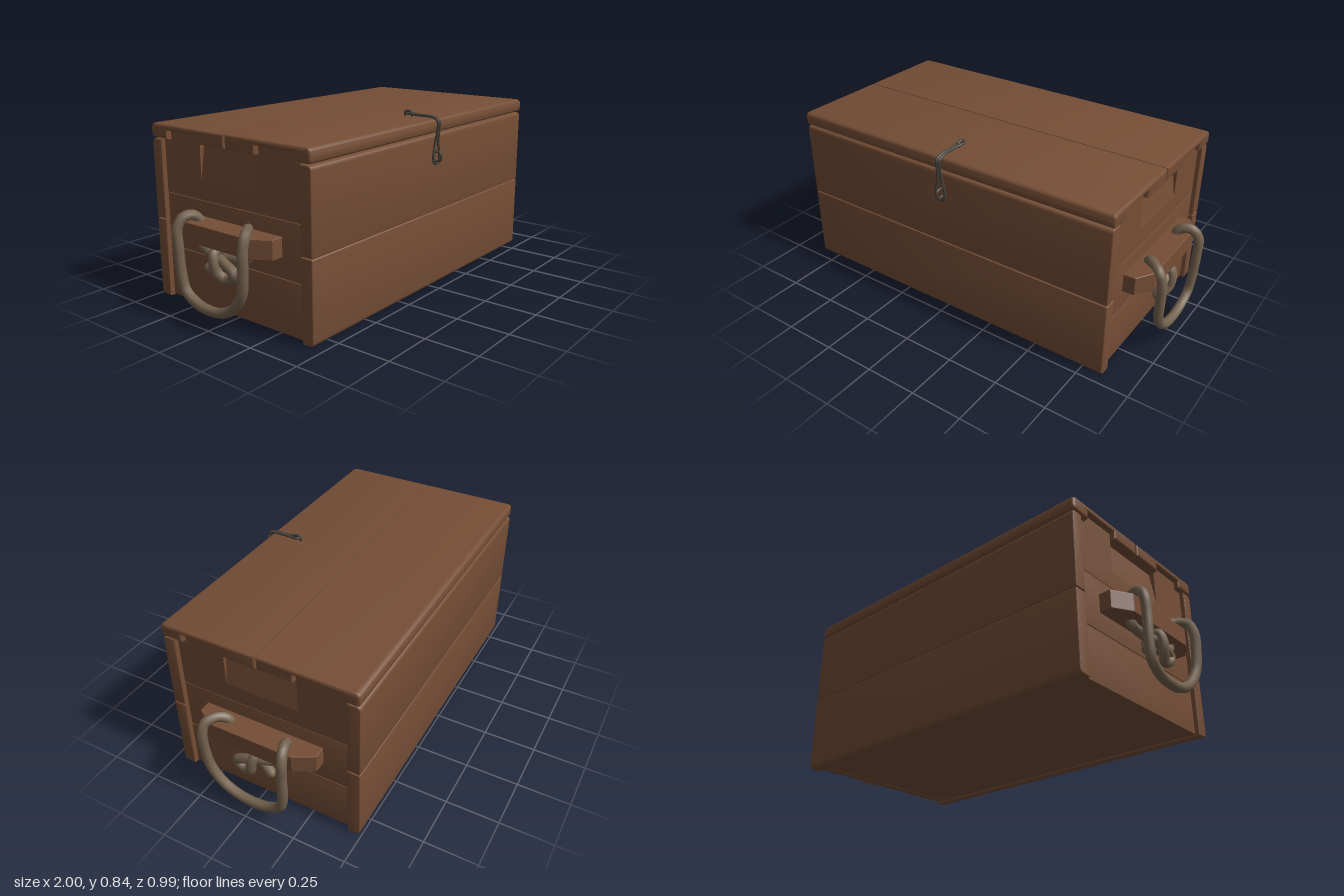
import * as THREE from 'three';
import { toCreasedNormals } from 'three/addons/utils/BufferGeometryUtils.js';

const material = (name, color) => {
  const m = new THREE.MeshStandardMaterial({ color });
  m.name = name;
  return m;
};

// Closed outline from [u, v, cornerRadius] points
function outline(points) {
  const shape = new THREE.Shape();
  const n = points.length;
  points.forEach(([u, v, r = 0], i) => {
    const toward = ([a, b]) => {
      const d = Math.hypot(a - u, b - v);
      return [u + (a - u) * r / d, v + (b - v) * r / d];
    };
    const start = toward(points[(i + n - 1) % n]);
    if (i === 0) shape.moveTo(...start); else shape.lineTo(...start);
    if (r > 0) shape.quadraticCurveTo(u, v, ...toward(points[(i + 1) % n]));
  });
  shape.closePath();
  return shape;
}

function extrude(points, length, bevel) {
  const geometry = new THREE.ExtrudeGeometry(outline(points), {
    depth: length - 2 * bevel, curveSegments: 5, bevelEnabled: bevel > 0,
    bevelThickness: bevel, bevelSize: bevel, bevelOffset: -bevel, bevelSegments: 3,
  });
  geometry.translate(0, 0, -(length - 2 * bevel) / 2);
  return geometry;
}

export function createModel() {
  const wood = material('brown wood', 0x754e36);
  const rope = material('rope', 0x75634f);
  const iron = material('dark iron', 0x45403a);
  const model = new THREE.Group();

  const add = (parent, name, geometry, mat) => {
    const mesh = new THREE.Mesh(geometry, mat);
    mesh.name = name;
    parent.add(mesh);
    return mesh;
  };

  // Board with a (z, y) profile running along x
  const board = (parent, name, profile, length, bevel, x = 0) => {
    const g = extrude(profile, length, bevel).rotateY(-Math.PI / 2).translate(x, 0, 0);
    return add(parent, name, toCreasedNormals(g, 0.6), wood);
  };

  const tube = (parent, name, points, radius, mat, closed = false) => {
    const curve = new THREE.CatmullRomCurve3(points.map(p => new THREE.Vector3(...p)), closed, 'centripetal');
    add(parent, name, new THREE.TubeGeometry(curve, points.length * 5, radius, 8, closed), mat);
  };

  // Front and back walls, two planks each
  for (const [side, outer, inner] of [['front', 0.453, 0.393], ['back', -0.493, -0.433]]) {
    board(model, side + 'LowerPlank',
      [[inner, 0.004], [outer, 0.004, 0.025], [outer, 0.374, 0.006], [inner, 0.374]], 1.7, 0.005);
    board(model, side + 'UpperPlank',
      [[inner, 0.377], [outer, 0.377, 0.006], [outer, 0.745, 0.02], [inner, 0.745]], 1.7, 0.005);
  }

  // Floor
  const floor = new THREE.BoxGeometry(1.64, 0.03, 0.815);
  floor.translate(0, 0.027, -0.02);
  add(model, 'floor', floor, wood);

  // Lid planks, notched underneath for the tabs of the end walls
  board(model, 'lidFrontPlank', [
    [-0.018, 0.75], [0.155, 0.75], [0.155, 0.787], [0.347, 0.787], [0.347, 0.75],
    [0.455, 0.75, 0.02], [0.455, 0.815, 0.025], [-0.018, 0.815]], 1.71, 0.012);
  board(model, 'lidBackPlank', [
    [-0.022, 0.815], [-0.493, 0.815, 0.025], [-0.493, 0.75, 0.02], [-0.387, 0.75],
    [-0.387, 0.787], [-0.195, 0.787], [-0.195, 0.75], [-0.022, 0.75]], 1.71, 0.012);

  for (const s of [1, -1]) {
    const end = new THREE.Group();
    end.name = s > 0 ? 'leftEnd' : 'rightEnd';
    model.add(end);

    // End wall: two plain planks and a top plank with tabs and a grip cutout
    for (const [y0, y1] of [[0.01, 0.249], [0.251, 0.499]]) {
      board(end, 'endPlank', [[0.39, y0], [0.39, y1], [-0.43, y1], [-0.43, y0]], 0.04, 0.002, s * 0.81);
    }
    board(end, 'endTopPlank', [
      [0.39, 0.501], [0.39, 0.745], [0.345, 0.745], [0.345, 0.784], [0.157, 0.784],
      [0.157, 0.585], [-0.197, 0.585], [-0.197, 0.784], [-0.385, 0.784], [-0.385, 0.745],
      [-0.43, 0.745], [-0.43, 0.501]], 0.04, 0, s * 0.81);

    // Sloping finger grip
    const grip = extrude([[s * 0.79, 0.585], [s * 0.83, 0.585], [s * 0.805, 0.75], [s * 0.79, 0.75]], 0.354, 0);
    add(end, 'gripSlope', grip.translate(0, 0, -0.02), wood);

    // Handle bar with tapered ends
    const bar = extrude([[s * 0.825, -0.275], [s * 0.885, -0.275], [s * 0.937, -0.19],
      [s * 0.937, 0.22], [s * 0.885, 0.31], [s * 0.825, 0.31]], 0.088, 0.004);
    add(end, 'handleBar', bar.rotateX(-Math.PI / 2).translate(0, 0.385, 0), wood);

    // Rope: through the bar, round the hanging loop, then knotted below the bar
    const path = [
      [0.9, 0.235, -0.09], [0.885, 0.262, -0.04], [0.87, 0.29, 0.02], [0.875, 0.3, 0.09],
      [0.88, 0.33, 0.14], [0.875, 0.38, 0.125], [0.875, 0.432, 0.125], [0.905, 0.457, 0.16],
      [0.955, 0.445, 0.195], [0.975, 0.4, 0.2], [0.976, 0.3, 0.198], [0.97, 0.2, 0.18],
      [0.966, 0.125, 0.125], [0.964, 0.085, 0.05], [0.964, 0.076, -0.03], [0.964, 0.09, -0.11],
      [0.967, 0.135, -0.172], [0.972, 0.22, -0.19], [0.976, 0.33, -0.194], [0.973, 0.41, -0.198],
      [0.945, 0.452, -0.188], [0.905, 0.456, -0.175], [0.877, 0.43, -0.165], [0.875, 0.38, -0.16],
      [0.88, 0.33, -0.155], [0.89, 0.305, -0.1], [0.905, 0.296, -0.03], [0.915, 0.278, 0.03],
      [0.915, 0.25, 0.078], [0.91, 0.222, 0.06], [0.915, 0.215, 0.02], [0.932, 0.24, -0.005],
      [0.938, 0.285, -0.015], [0.925, 0.322, -0.025], [0.885, 0.325, -0.035], [0.865, 0.29, -0.03],
    ].map(([x, y, z]) => [s * x, y, z]);
    tube(end, 'ropeHandle', path, 0.023, rope);
    for (const p of [path[0], path[path.length - 1]]) {
      add(end, 'ropeEnd', new THREE.SphereGeometry(0.023, 8, 6), rope).position.set(...p);
    }
  }

  // Wire latch: a hairpin from the lid staple down over the front
  const latch = new THREE.Group();
  latch.name = 'latch';
  model.add(latch);
  const strand = [
    [0.01, 0.829, 0.305], [0.006, 0.826, 0.36], [0.006, 0.824, 0.44], [0.007, 0.81, 0.473],
    [0.008, 0.76, 0.472], [0.012, 0.71, 0.466], [0.025, 0.65, 0.466], [0.02, 0.617, 0.467],
  ];
  const mirrored = strand.map(([x, y, z]) => [-x, y, z]).reverse();
  tube(latch, 'latchWire', [...strand, [0, 0.608, 0.467], ...mirrored, [0, 0.829, 0.295]], 0.006, iron, true);

  // Staples on the lid and on the front
  tube(latch, 'lidStaple', [[0, 0.81, 0.325], [0, 0.832, 0.328], [0, 0.84, 0.31],
    [0, 0.834, 0.29], [0, 0.81, 0.29]], 0.006, iron);
  tube(latch, 'frontStaple', [[0, 0.662, 0.445], [0, 0.664, 0.478], [0, 0.655, 0.49],
    [0, 0.632, 0.49], [0, 0.622, 0.478], [0, 0.624, 0.445]], 0.006, iron);

  return model;
}
